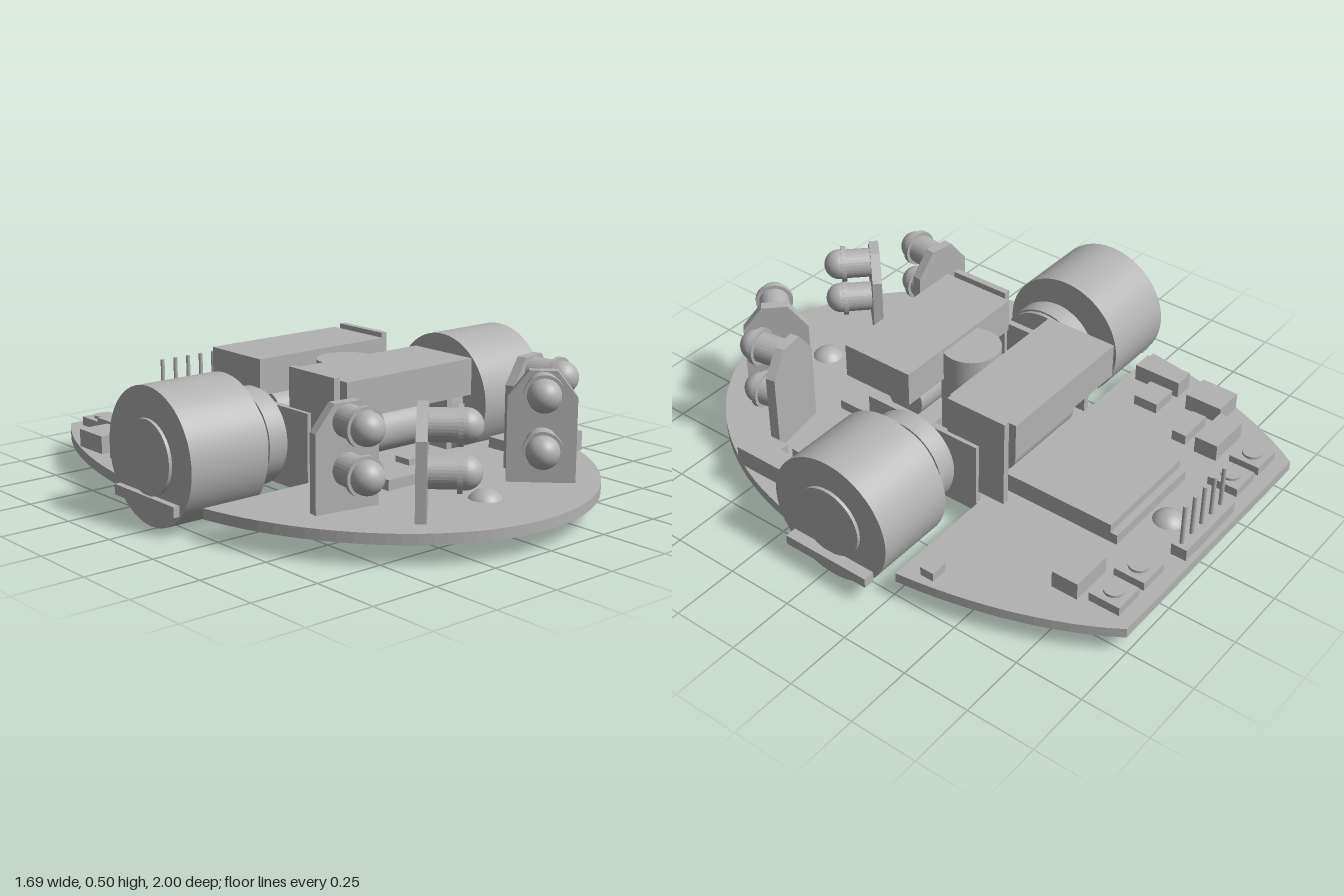
import * as THREE from 'three';

export function createModel() {
  const model = new THREE.Group();
  model.name = 'wheeledRobot';
  const grey = new THREE.MeshStandardMaterial({ color: 0xb2b2b2 });
  grey.name = 'plain grey';
  const CX = -0.01; // centre line of the chassis
  const AXLE_Y = 0.238, AXLE_Z = -0.025, TOP = 0.11;

  const add = (name, geo, parent = model) => {
    const mesh = new THREE.Mesh(geo, grey);
    mesh.name = name;
    parent.add(mesh);
    return mesh;
  };
  const box = (name, x0, x1, y0, y1, z0, z1) => {
    const m = add(name, new THREE.BoxGeometry(x1 - x0, y1 - y0, z1 - z0));
    m.position.set((x0 + x1) / 2, (y0 + y1) / 2, (z0 + z1) / 2);
    return m;
  };
  // cylinder lying along x
  const rod = (name, x0, x1, r, y = AXLE_Y, z = AXLE_Z, seg = 48) => {
    const g = new THREE.CylinderGeometry(r, r, Math.abs(x1 - x0), seg).rotateZ(Math.PI / 2);
    const m = add(name, g);
    m.position.set((x0 + x1) / 2, y, z);
    return m;
  };

  // base plate: elliptical outline, straight back edge, a notch for each wheel
  const A = 0.785, NOTCH = 0.335, Z0 = -0.265, Z1 = 0.21;
  const halfWidth = (z) => A * Math.sqrt(Math.max(0, 1 - (z > 0 ? z * z : (z * z) / 1.77)));
  const side = [];
  for (let i = 0; i <= 14; i++) {
    const z = -1 + ((Z0 + 1) * i) / 14;
    side.push([halfWidth(z), z]);
  }
  side.push([NOTCH, Z0], [NOTCH, Z1]);
  const start = Math.asin(Z1);
  for (let i = 0; i <= 24; i++) {
    const t = start + ((Math.PI / 2 - start) * i) / 24;
    side.push([A * Math.cos(t), Math.sin(t)]);
  }
  const outline = side.map(([x, z]) => new THREE.Vector2(CX + x, z));
  side.slice(0, -1).reverse().forEach(([x, z]) => outline.push(new THREE.Vector2(CX - x, z)));
  const plateShape = new THREE.Shape(outline);
  const hole = new THREE.Path();
  hole.absarc(CX, 0.02, 0.107, 0, Math.PI * 2, true);
  plateShape.holes.push(hole);
  const plateGeo = new THREE.ExtrudeGeometry(plateShape, { depth: 0.037, bevelEnabled: false, curveSegments: 20 });
  add('basePlate', plateGeo.rotateX(Math.PI / 2)).position.y = TOP;

  // wheels with hubs, inner gears, axles, mounting walls and outer rails
  for (const s of [-1, 1]) {
    const at = (d) => CX + s * d;
    rod('wheel', at(0.504), at(0.81), 0.238, AXLE_Y, AXLE_Z, 64);
    rod('wheelHub', at(0.8), at(0.822), 0.13);
    rod('gear', at(0.365), at(0.46), 0.165);
    rod('gearStep', at(0.38), at(0.445), 0.172);
    rod('axle', at(0.3), at(0.52), 0.024, AXLE_Y, AXLE_Z, 20);
    const a = s * 0.31 + CX, b = s * 0.335 + CX;
    box('mountingWall', Math.min(a, b), Math.max(a, b), TOP, 0.35, -0.26, 0.21);
    const o = s * 0.843, i = s * 0.8;
    box('outerRail', Math.min(o, i), Math.max(o, i), 0.073, TOP, -0.205, 0.14);
  }

  // ball casters
  for (const z of [-0.825, 0.715]) {
    add('ballCaster', new THREE.SphereGeometry(0.068, 32, 20)).position.set(CX, 0.073, z);
  }

  // drive block: two top housings, two motors, centre column
  box('rearHousing', -0.296, 0.275, 0.345, 0.475, -0.386, -0.11);
  box('frontHousing', -0.296, 0.275, 0.345, 0.475, 0.07, 0.355);
  add('centreColumn', new THREE.CylinderGeometry(0.107, 0.107, 0.35, 40)).position.set(CX, 0.285, 0.02);
  rod('frontMotor', -0.2, 0.145, 0.077, 0.24, 0.2);
  rod('rearMotor', -0.165, 0.18, 0.077, 0.24, -0.24);
  rod('frontMotorShaft', -0.32, -0.2, 0.04, 0.24, 0.2, 24);
  rod('rearMotorShaft', 0.18, 0.3, 0.04, 0.24, -0.24, 24);
  box('frontEndPlate', -0.33, -0.305, 0.15, 0.49, 0.095, 0.33);
  box('rearEndPlate', 0.285, 0.31, 0.15, 0.49, -0.365, -0.127);

  // slabs before and behind the drive block
  box('rearSlab', -0.22, 0.205, TOP, 0.182, -0.73, -0.2);
  box('rearSlabLip', -0.22, 0.205, TOP, 0.15, -0.757, -0.73);
  box('frontSlab', -0.2, 0.21, TOP, 0.147, 0.1, 0.455);
  box('frontSlabTab', -0.03, 0.035, 0.147, 0.168, 0.3, 0.37);

  // push buttons along the back
  for (const x of [-0.45, -0.305, 0.275, 0.418]) {
    box('buttonBase', x - 0.058, x + 0.058, TOP, 0.143, -0.947, -0.83);
    add('buttonCap', new THREE.CylinderGeometry(0.036, 0.036, 0.012, 24)).position.set(x, 0.147, -0.888);
  }

  // pin header
  box('pinHeader', -0.175, 0.132, TOP, 0.155, -0.98, -0.92);
  for (let i = 0; i < 5; i++) {
    add('headerPin', new THREE.CylinderGeometry(0.008, 0.008, 0.2, 8)).position.set(-0.137 + i * 0.061, 0.213, -0.945);
  }

  // small board components: x0, x1, z0, z1, top height
  const chips = [
    [-0.54, -0.37, -0.79, -0.7, 0.175], [0.333, 0.497, -0.8, -0.7, 0.175],
    [-0.677, -0.56, -0.69, -0.545, 0.175], [-0.52, -0.38, -0.656, -0.6, 0.15],
    [-0.68, -0.6, -0.487, -0.3, 0.175], [-0.577, -0.47, -0.476, -0.38, 0.15],
    [0.65, 0.714, -0.386, -0.333, 0.143], [0.44, 0.53, 0.286, 0.4, 0.15],
    [0.585, 0.667, 0.23, 0.4, 0.182], [0.55, 0.667, 0.4, 0.53, 0.182],
  ];
  for (const [x0, x1, z0, z1, y1] of chips) box('boardComponent', x0, x1, TOP, y1, z0, z1);

  // sensor stands: upright boards with two domed lamps each
  const lampGeo = new THREE.LatheGeometry([
    [0.055, 0], [0.055, 0.1], [0.068, 0.1], [0.068, 0.118], [0.057, 0.118], [0.057, 0.13],
  ].map(([r, y]) => new THREE.Vector2(r, y)), 32).toNonIndexed().rotateX(Math.PI / 2);
  lampGeo.computeVertexNormals();
  const domeGeo = new THREE.SphereGeometry(0.057, 32, 12, 0, Math.PI * 2, 0, Math.PI / 2).rotateX(Math.PI / 2);
  // x, z, facing angle, board top, upper lamp height
  const stands = [
    [-0.437, 0.508, -0.16, 0.465, 0.405], [-0.28, 0.7, Math.PI / 4, 0.465, 0.4],
    [0.267, 0.7, -Math.PI / 4, 0.495, 0.437], [0.405, 0.508, 0.16, 0.495, 0.435],
  ];
  for (const [x, z, angle, h, lampY] of stands) {
    const stand = new THREE.Group();
    stand.name = 'sensorStand';
    stand.position.set(x, 0, z);
    stand.rotation.y = angle;
    const w = 0.117;
    const shape = new THREE.Shape([
      [-w, TOP], [w, TOP], [w, h - 0.09], [w - 0.07, h], [0.07 - w, h], [-w, h - 0.09],
    ].map(([px, py]) => new THREE.Vector2(px, py)));
    add('sensorBoard', new THREE.ExtrudeGeometry(shape, { depth: 0.036, bevelEnabled: false }), stand).position.z = -0.018;
    for (const y of [0.247, lampY]) {
      add('lampBody', lampGeo, stand).position.set(0, y, 0.01);
      add('lampDome', domeGeo, stand).position.set(0, y, 0.135);
    }
    model.add(stand);
  }
  grey.side = THREE.DoubleSide;
  return model;
}
